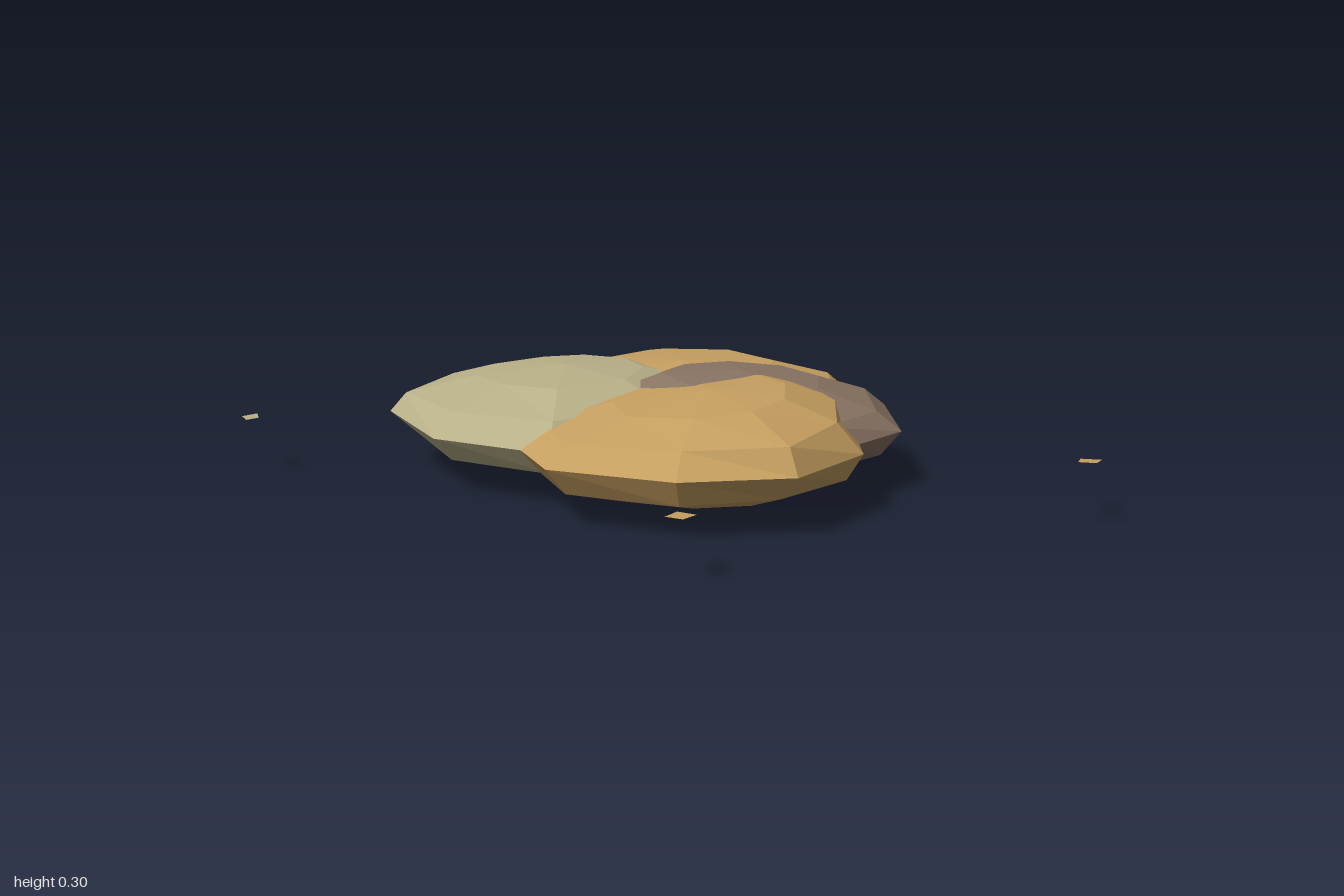
import * as THREE from 'three';

const MID = 0.163; // height of every rim
const OLIVE = 0xb8b088, TAN = 0xc69f60, BROWN = 0x8a7564;

// Each stone: centre, rim corners (x, z), dome height, belly depth and slope of the dome
const STONES = [
  { name: 'leftStone', color: OLIVE, c: [-0.42, 0.03], up: 0.135, down: 0.142, tilt: [0.05, -0.03],
    rim: [[-0.05, 0.40], [-0.40, 0.52], [-0.76, 0.41], [-0.94, 0.13], [-0.89, -0.19],
      [-0.69, -0.34], [-0.40, -0.42], [-0.10, -0.30], [0.07, 0.03]] },
  { name: 'rightStone', color: TAN, c: [0.12, -0.02], up: 0.138, down: 0.15, tilt: [0.03, -0.07],
    rim: [[0.06, 0.51], [-0.26, 0.38], [-0.33, 0.08], [-0.26, -0.25], [0.02, -0.54],
      [0.27, -0.43], [0.52, -0.19], [0.56, 0.11], [0.38, 0.36]] },
  { name: 'backStone', color: TAN, c: [-0.26, -0.29], up: 0.125, down: 0.163, tilt: [0, -0.02],
    rim: [[0.01, -0.74], [0.24, -0.53], [0.25, -0.20], [0.08, 0.05], [-0.25, 0.18],
      [-0.55, 0.10], [-0.77, -0.20], [-0.71, -0.56], [-0.38, -0.78]] },
  { name: 'middleStone', color: BROWN, c: [0.01, -0.26], up: 0.139, down: 0.145, tilt: [-0.07, 0.06],
    rim: [[0.18, -0.69], [0.43, -0.46], [0.45, -0.15], [0.30, 0.08], [0.02, 0.20],
      [-0.25, 0.10], [-0.38, -0.18], [-0.33, -0.50], [-0.10, -0.69]] },
];

function stoneGeometry({ c, rim, up, down, tilt }) {
  const n = rim.length, rings = 5, pos = [], idx = [];
  const add = (x, z, s) => {
    const slope = s > 0 ? s * (tilt[0] * (x - c[0]) + tilt[1] * (z - c[1])) : 0;
    pos.push(x, MID + (s > 0 ? up : down) * s + slope, z);
  };
  add(c[0], c[1], 1); // top centre
  for (let r = 1; r <= rings; r++) {
    const a = Math.PI * r / (rings + 1), k = Math.sin(a);
    rim.forEach(([x, z], i) => {
      // inner rings are slightly uneven, the rim is exact
      const w = r === 3 ? k : k * (1 + 0.05 * Math.sin(i * 2.4 + r * 1.7));
      add(c[0] + (x - c[0]) * w, c[1] + (z - c[1]) * w, r === 3 ? 0 : Math.cos(a));
    });
  }
  add(c[0], c[1], -1); // bottom centre
  const last = 1 + rings * n;
  for (let i = 0; i < n; i++) {
    const j = (i + 1) % n;
    idx.push(0, 1 + j, 1 + i);
    for (let r = 0; r < rings - 1; r++) {
      const a = 1 + r * n, b = a + n;
      idx.push(a + i, a + j, b + i, a + j, b + j, b + i);
    }
    idx.push(last, last - n + i, last - n + j);
  }
  const g = new THREE.BufferGeometry();
  g.setAttribute('position', new THREE.Float32BufferAttribute(pos, 3));
  g.setIndex(idx);
  g.computeVertexNormals();
  return g;
}

// Small flat chips lying around the stones, corners in (x, z)
const CHIPS = [
  { color: OLIVE, pts: [[-1, 0.705], [-0.95, 0.73], [-0.95, 0.77], [-1, 0.755]] },
  { color: TAN, pts: [[0.56, 0.53], [0.61, 0.515], [0.615, 0.565], [0.57, 0.58]] },
  { color: TAN, pts: [[0.94, -0.56], [0.985, -0.59], [0.995, -0.55], [0.955, -0.525]] },
  { color: TAN, pts: [[-0.67, -0.70], [-0.665, -0.745], [-0.62, -0.755], [-0.62, -0.715]] },
];

export function createModel() {
  const group = new THREE.Group();
  group.name = 'stoneCluster';
  for (const s of STONES) {
    const mat = new THREE.MeshStandardMaterial({ color: s.color, flatShading: true });
    const mesh = new THREE.Mesh(stoneGeometry(s), mat);
    mesh.name = s.name;
    group.add(mesh);
  }
  CHIPS.forEach(({ color, pts }, i) => {
    const shape = new THREE.Shape(pts.map(([x, z]) => new THREE.Vector2(x, -z)));
    const geo = new THREE.ShapeGeometry(shape).rotateX(-Math.PI / 2).translate(0, MID, 0);
    const mat = new THREE.MeshStandardMaterial({ color, flatShading: true, side: THREE.DoubleSide });
    const chip = new THREE.Mesh(geo, mat);
    chip.name = 'chip' + (i + 1);
    group.add(chip);
  });
  return group;
}
